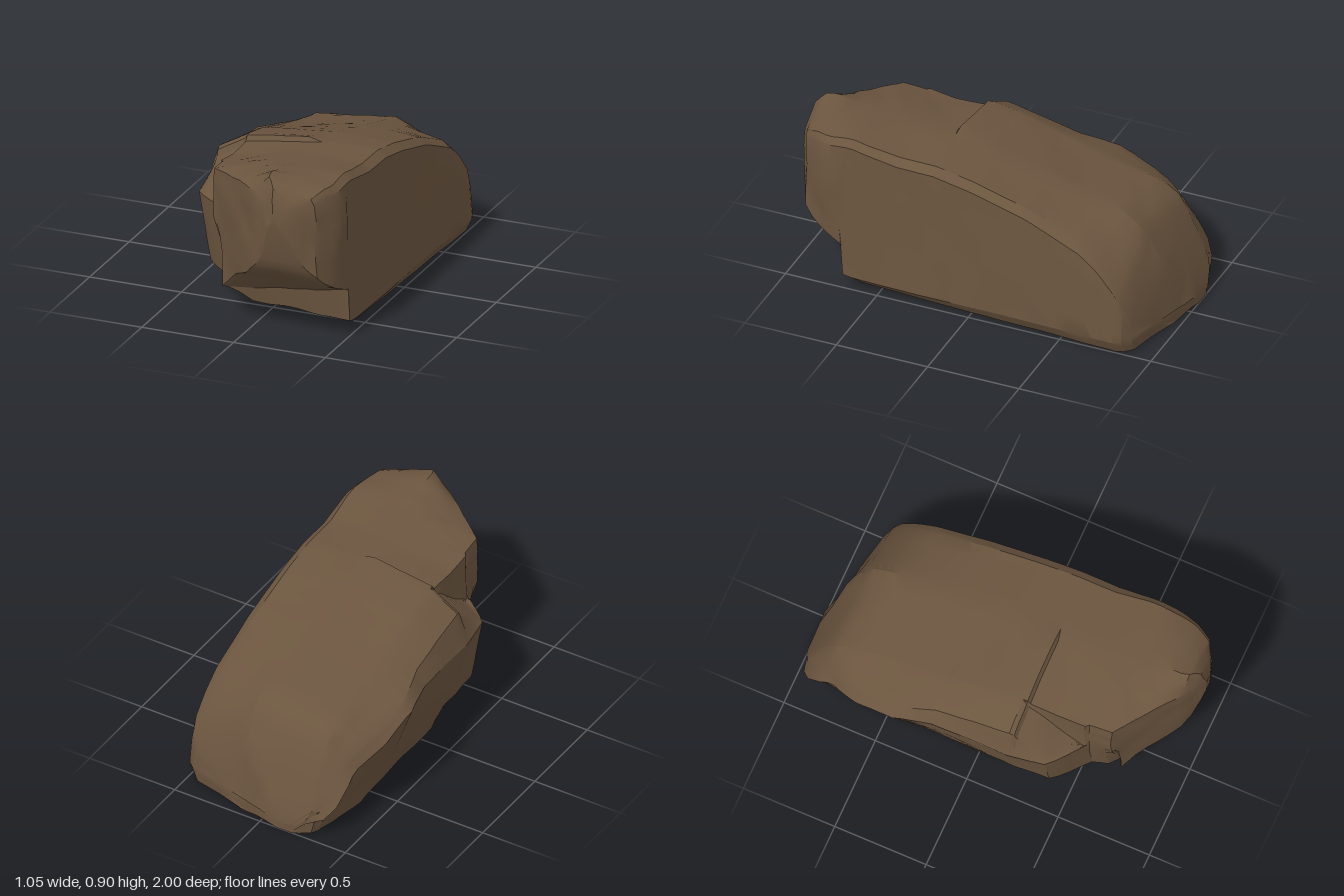
import * as THREE from 'three';
import { toCreasedNormals } from 'three/addons/utils/BufferGeometryUtils.js';

const { clamp } = THREE.MathUtils;

// Piecewise-linear curve through [z, value] pairs
const curve = (pairs) => (z) => {
  if (z <= pairs[0][0]) return pairs[0][1];
  for (let i = 1; i < pairs.length; i++) {
    const [z0, a] = pairs[i - 1], [z1, b] = pairs[i];
    if (z <= z1) return a + (b - a) * (z - z0) / (z1 - z0);
  }
  return pairs[pairs.length - 1][1];
};

// Outlines of the boulder along its length
const leftEdge = curve([[-1, -0.2], [-0.98, -0.27], [-0.95, -0.38], [-0.8, -0.43], [-0.6, -0.5],
  [-0.4, -0.53], [-0.2, -0.48], [0.2, -0.475], [0.4, -0.45], [0.45, -0.4], [0.54, -0.28],
  [0.56, -0.255], [0.68, -0.25], [0.8, -0.1], [0.92, 0.05], [0.97, 0.14], [1, 0.19]]);
const rightEdge = curve([[-1, 0], [-0.97, 0.1], [-0.9, 0.4], [-0.87, 0.5], [-0.8, 0.52],
  [0.6, 0.505], [0.78, 0.495], [0.92, 0.42], [0.97, 0.34], [1, 0.25]]);
const crest = curve([[-1, 0.06], [-0.97, 0.17], [-0.92, 0.31], [-0.85, 0.46], [-0.8, 0.53], [-0.7, 0.6],
  [-0.4, 0.68], [0, 0.785], [0.2, 0.82], [0.4, 0.82], [0.6, 0.855], [0.85, 0.9], [0.93, 0.89],
  [0.97, 0.85], [1, 0.74]]);
const underside = curve([[-1, 0], [0, 0.02], [0.62, 0.045], [0.69, 0.08], [0.705, 0.25], [0.8, 0.29],
  [0.9, 0.36], [0.95, 0.43], [0.975, 0.52], [1, 0.66]]);
// Undercut of the -x flank: how far the foot is set in, the bevel below it and the rise of its base
const footInset = curve([[-0.8, 0.08], [-0.4, 0.13], [-0.2, 0.09], [0.4, 0.07], [0.56, 0.05],
  [0.64, 0.08], [0.695, 0.16], [0.705, 0.05]]);
const footBevel = curve([[0.1, 0.05], [0.5, 0.25], [0.68, 0.18], [0.71, 0.04]]);
const footRise = curve([[0.3, 0], [0.68, 0.04], [0.69, 0.03], [0.705, -0.08], [0.8, 0]]);
// Top edge of the block, and the broken shoulder beside it, as shares of the height
const blockEdge = curve([[-0.8, 0.92], [-0.4, 0.92], [0, 0.94], [0.4, 0.92], [0.7, 0.9]]);
const shoulderInner = curve([[0.2, 0.997], [0.3, 0.92], [0.45, 0.74], [0.54, 0.66], [0.57, 0.9]]);
const shoulderOuter = curve([[-0.8, 0.74], [-0.4, 0.82], [0, 0.83], [0.2, 0.82], [0.42, 0.66],
  [0.54, 0.6], [0.58, 0.75]]);
const widestLevel = curve([[-0.8, 0.6], [-0.45, 0.75]]);
// Drop of the +x top edge, larger at the broken corners
const rightDrop = curve([[-0.85, 0.22], [-0.6, 0.1], [-0.3, 0.05], [0.65, 0.04], [0.9, 0.11]]);

// Seeded lattice noise, -1 to 1
const hash = (x, y, z) => {
  const s = Math.sin(x * 127.1 + y * 311.7 + z * 74.7) * 43758.5453;
  return (s - Math.floor(s)) * 2 - 1;
};
function noise(x, y, z) {
  const X = Math.floor(x), Y = Math.floor(y), Z = Math.floor(z);
  let sum = 0;
  for (let i = 0; i < 8; i++) {
    const a = i & 1, b = (i >> 1) & 1, c = i >> 2;
    sum += hash(X + a, Y + b, Z + c) * (1 - Math.abs(x - X - a)) * (1 - Math.abs(y - Y - b)) * (1 - Math.abs(z - Z - c));
  }
  return sum;
}

// Cross-section corners, from the base up the -x side, over the top and down the +x side
function section(z) {
  const xl = leftEdge(z), xr = rightEdge(z), w = xr - xl, k = Math.min(1, w);
  const top = crest(z), low = underside(z), foot = xl + footInset(z) * k;
  const lowLeft = low + footRise(z);
  const xe = Math.max(-0.26, xl + 0.01), ye = top * blockEdge(z);
  const yr = top - rightDrop(z);
  return [
    [foot + footBevel(z) * k, lowLeft], [foot, 0.16],
    [xl, Math.min(0.52, top * widestLevel(z))],
    [Math.min(xl + 0.05, xe - 0.01), top * shoulderOuter(z)],
    [xe - 0.01, ye * shoulderInner(z)], [xe, ye],
    [clamp(0.15, xl + 0.3 * w, xl + 0.7 * w), top], [xr - 0.07 * w, yr + 0.035], [xr - 0.025 * w, yr],
    [xr - 0.015 * w, Math.min(0.45, yr * 0.85)], [xr, 0.07], [xr - 0.03 * w, low],
  ].map(([x, y], i) => [x, clamp(y, i < 2 ? lowLeft : low, top)]);
}

function roughen(x, y, z) {
  // Chipped ends, calmer top and sides
  const ends = clamp((Math.abs(z + 0.02) - 0.55) / 0.25, 0, 1);
  const flatSide = x > 0.4 && z < 0.7 ? 0.3 : 1;
  const amp = (0.007 + 0.014 * ends) * flatSide;
  const n = noise(x * 6 + 9, y * 6 + 3, z * 5 + 7) + 0.5 * noise(x * 15, y * 15 + 5, z * 13);
  const r = Math.hypot(x, y - 0.4) || 1;
  // Slab lip across the top
  const lip = x < 0.15 && y > 0.6 && z < 0.23 ? 0.025 * Math.max(0, 1 - (0.23 - z) / 0.25) : 0;
  const dz = Math.abs(z) < 0.94 ? amp * 0.7 * noise(x * 8 + 4, y * 8, z * 3) : 0;
  return [x + amp * n * x / r, Math.max(0, y + amp * n * (y - 0.4) / r + lip), z + dz];
}

function boulderGeometry() {
  const stations = [-0.985, -0.97, 0.225, 0.245, 0.54, 0.565, 0.69, 0.705, 0.94, 0.955, 0.97, 0.985];
  for (let i = 0; i <= 50; i++) stations.push(-1 + i * 0.04);
  stations.sort((a, b) => a - b);
  const steps = [2, 4, 3, 3, 2, 6, 4, 2, 4, 4, 2, 12];
  const positions = [], index = [];
  let around = 0;
  for (const z of stations) {
    const pts = section(z);
    around = 0;
    pts.forEach(([x, y], i) => {
      const [nx, ny] = pts[(i + 1) % pts.length];
      for (let k = 0; k < steps[i]; k++, around++) {
        const t = k / steps[i];
        positions.push(...roughen(x + (nx - x) * t, y + (ny - y) * t, z));
      }
    });
  }
  const last = stations.length - 1;
  for (let s = 0; s < last; s++) {
    for (let i = 0; i < around; i++) {
      const j = (i + 1) % around;
      const a = s * around + i, b = a + around, c = s * around + j, d = c + around;
      index.push(a, b, c, b, d, c);
    }
  }
  // Close both ends
  for (const s of [0, last]) {
    const z = stations[s], centre = positions.length / 3;
    positions.push((leftEdge(z) + rightEdge(z)) / 2, (crest(z) + underside(z)) / 2, z);
    for (let i = 0; i < around; i++) {
      const a = s * around + i, b = s * around + (i + 1) % around;
      if (s === 0) index.push(centre, a, b);
      else index.push(centre, b, a);
    }
  }
  const geometry = new THREE.BufferGeometry();
  geometry.setAttribute('position', new THREE.Float32BufferAttribute(positions, 3));
  geometry.setIndex(index);
  return toCreasedNormals(geometry, 0.5);
}

export function createModel() {
  const stone = new THREE.MeshStandardMaterial({ color: 0x6b553f });
  stone.name = 'brown stone';
  const boulder = new THREE.Mesh(boulderGeometry(), stone);
  boulder.name = 'boulder';
  const group = new THREE.Group();
  group.name = 'rock';
  group.add(boulder);
  return group;
}
